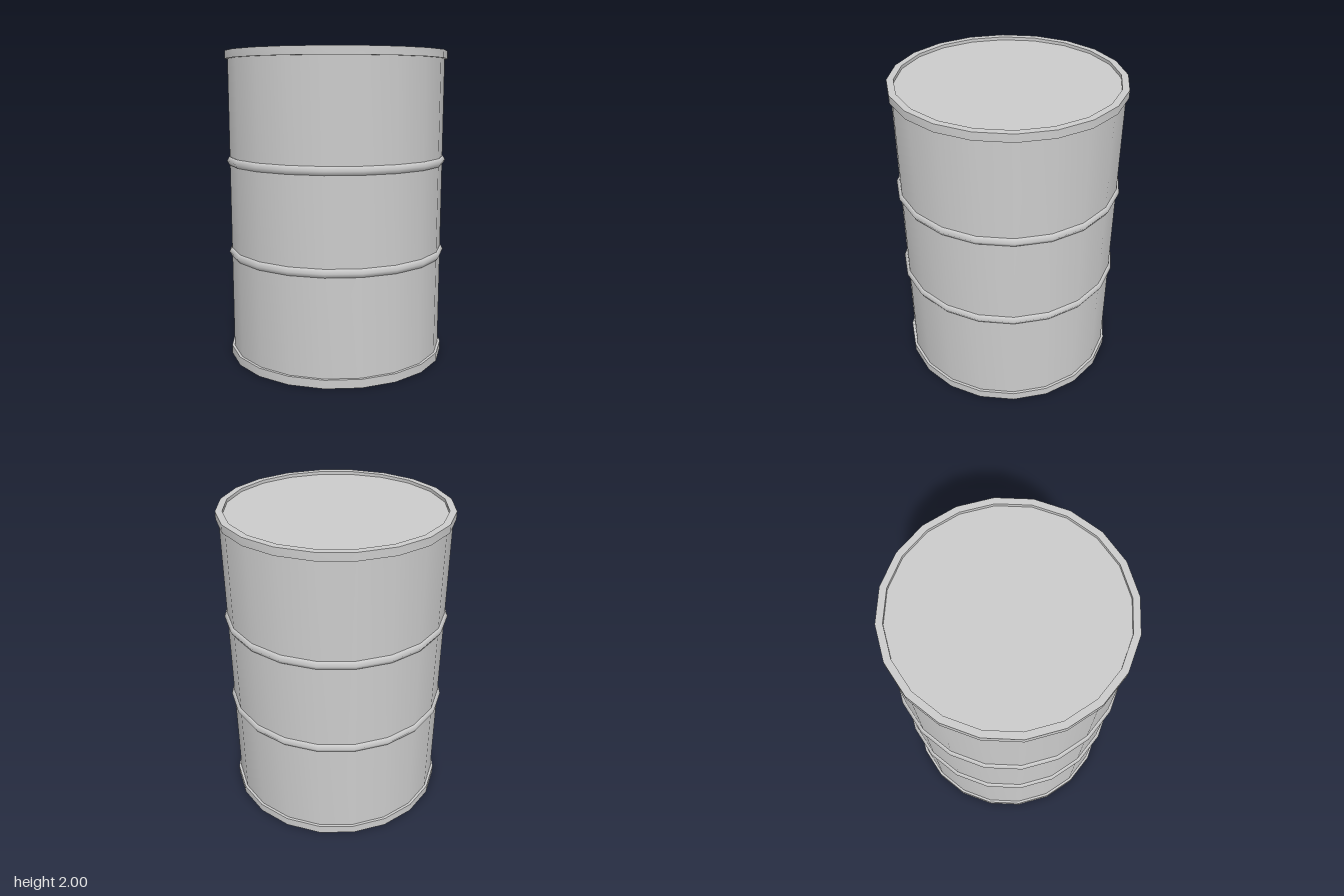
import * as THREE from 'three';
import { toCreasedNormals } from 'three/addons/utils/BufferGeometryUtils.js';

const SIDES = 20;

export function createModel() {
  const model = new THREE.Group();
  const material = new THREE.MeshStandardMaterial({ color: 0xcccccc });

  function add(name, geometry) {
    const mesh = new THREE.Mesh(geometry, material);
    mesh.name = name;
    model.add(mesh);
    return mesh;
  }

  // Turned part from [radius, height] pairs, with sharp profile corners
  function turned(name, profile) {
    const points = profile.map(([r, y]) => new THREE.Vector2(r, y));
    return add(name, toCreasedNormals(new THREE.LatheGeometry(points, SIDES), 0.6));
  }

  // Drum wall
  turned('body', [[0.7, 0.03], [0.7, 1.97]]);

  // Solid base with its chime
  turned('base', [[0, 0], [0.717, 0], [0.717, 0.055], [0.69, 0.055]]);

  // Raised rim around a slightly sunken lid
  turned('topRim', [[0.69, 1.95], [0.717, 1.95], [0.717, 2], [0.675, 2], [0.675, 1.98]]);
  turned('lid', [[0.675, 1.98], [0, 1.98]]);

  // Rolling hoops
  const hoop = new THREE.TorusGeometry(0.689, 0.03, 6, SIDES).rotateX(Math.PI / 2);
  add('lowerHoop', hoop).position.y = 0.705;
  add('upperHoop', hoop).position.y = 1.305;

  return model;
}
